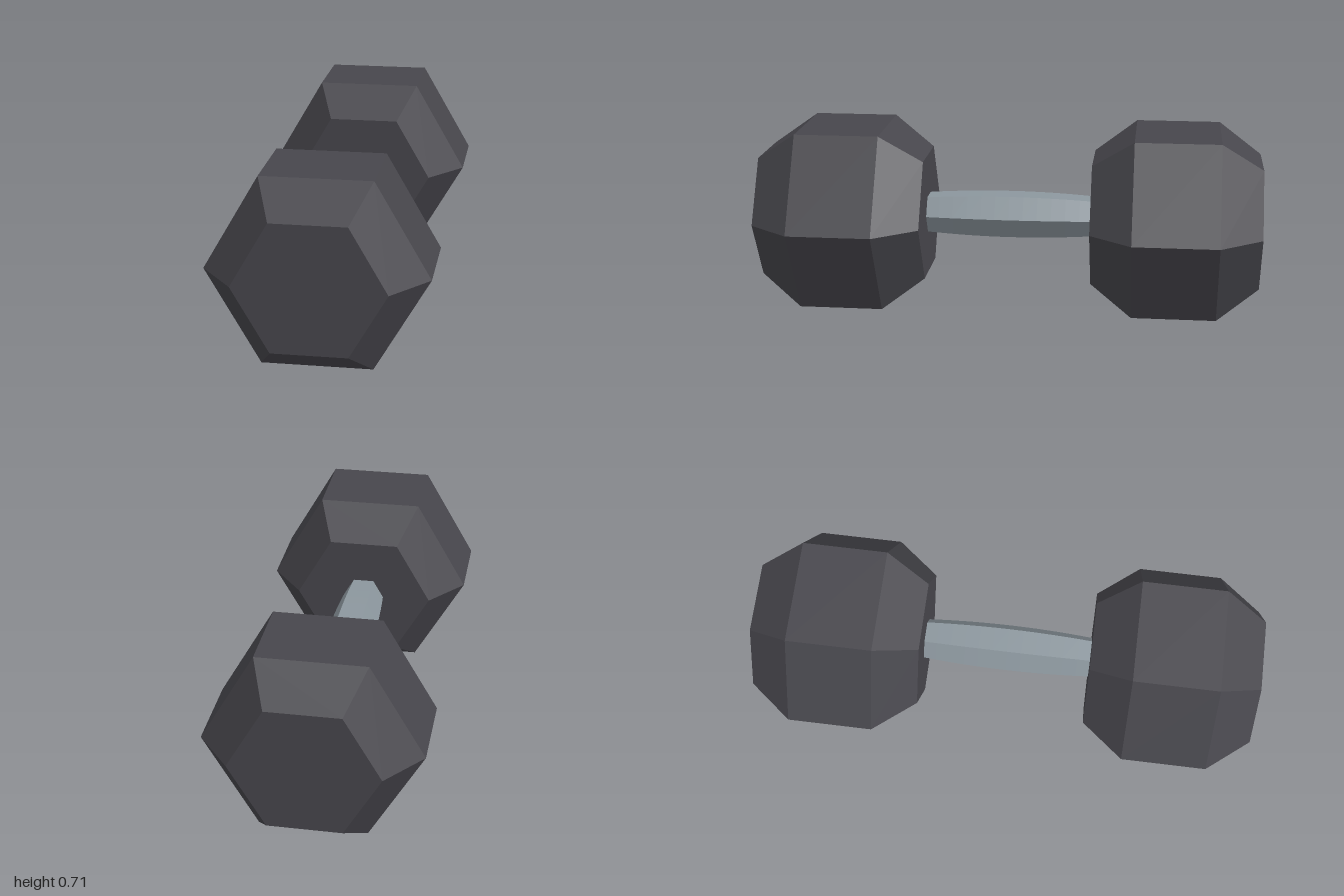
import * as THREE from 'three';

const CENTER_Y = 0.356;

// Six-sided solid along z from [radius, z] pairs, corners pointing to +x and -x
function hexSolid(profile) {
  const points = profile.map(([r, z]) => new THREE.Vector2(r, z));
  const lathe = new THREE.LatheGeometry(points, 6, Math.PI / 2);
  lathe.rotateX(Math.PI / 2);
  const geometry = lathe.toNonIndexed();
  geometry.computeVertexNormals(); // faceted look
  return geometry;
}

export function createModel() {
  const rubber = new THREE.MeshStandardMaterial({ color: 0x47464c });
  rubber.name = 'darkRubber';
  const steel = new THREE.MeshStandardMaterial({ color: 0x8c979e });
  steel.name = 'greySteel';

  const model = new THREE.Group();
  model.name = 'dumbbell';

  // Chamfered hexagonal weights at both ends
  const weightGeometry = hexSolid([
    [0, -0.333], [0.279, -0.333], [0.411, -0.167],
    [0.411, 0.167], [0.279, 0.333], [0, 0.333],
  ]);
  for (const [name, z] of [['frontWeight', 0.667], ['backWeight', -0.667]]) {
    const weight = new THREE.Mesh(weightGeometry, rubber);
    weight.name = name;
    weight.position.set(0, CENTER_Y, z);
    model.add(weight);
  }

  // Hexagonal handle, bulging gently in the middle
  const steps = 12;
  const profile = [];
  for (let i = 0; i <= steps; i++) {
    const t = (i / steps) * 2 - 1;
    profile.push([0.097 - 0.014 * t * t, t * 0.34]);
  }
  const handle = new THREE.Mesh(hexSolid(profile), steel);
  handle.name = 'handle';
  handle.position.y = CENTER_Y;
  model.add(handle);

  return model;
}
